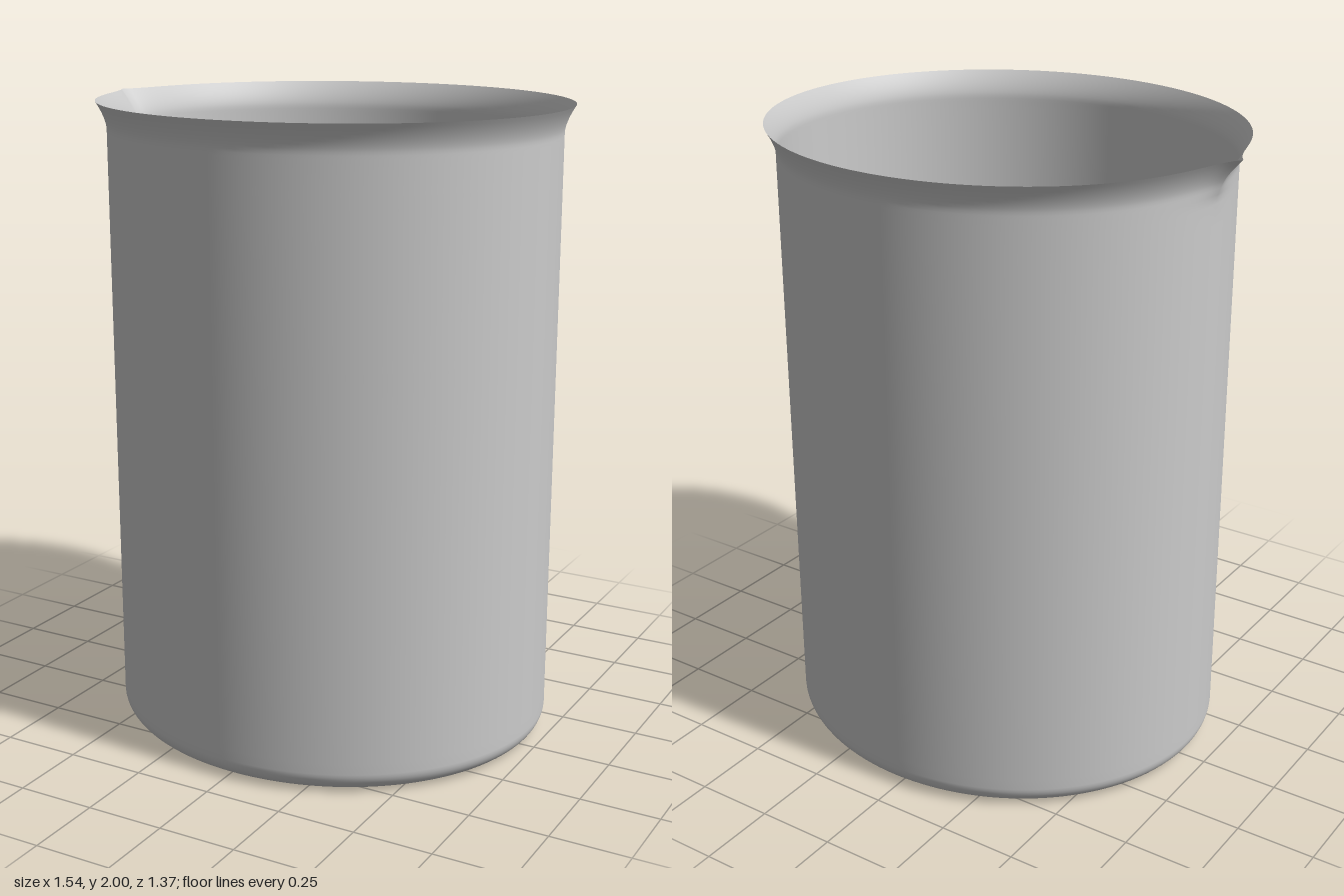
import * as THREE from 'three';
import { mergeVertices } from 'three/addons/utils/BufferGeometryUtils.js';

const R = 0.652;          // wall radius along z
const STRETCH = 1.093;    // the vessel is slightly wider along x
const CENTRE_X = 0.022;   // makes room for the spout on the -x side
const FILLET = 0.065;     // rounding between floor and wall

// Half section of the thin wall: floor, rounded corner, wall, flared rim
function wallProfile() {
  const p = [new THREE.Vector2(0, 0), new THREE.Vector2(0.3, 0), new THREE.Vector2(R - FILLET - 0.02, 0)];
  for (let i = 0; i <= 10; i++) {
    const a = (i / 10) * Math.PI / 2;
    p.push(new THREE.Vector2(R - FILLET + FILLET * Math.sin(a), FILLET * (1 - Math.cos(a))));
  }
  for (const y of [0.1, 0.7, 1.3, 1.8, 1.86]) p.push(new THREE.Vector2(R, y));
  for (let i = 0; i <= 12; i++) {
    const t = i / 12;
    p.push(new THREE.Vector2(R + 0.031 * Math.pow(Math.max(0, (t - 0.3) / 0.7), 1.6), 1.88 + 0.12 * t));
  }
  return p;
}

// Pull the rim outwards into a pointed pouring lip at -x
function shapeSpout(geometry) {
  const pos = geometry.attributes.position;
  for (let i = 0; i < pos.count; i++) {
    const x = pos.getX(i), y = pos.getY(i), z = pos.getZ(i);
    const rise = THREE.MathUtils.clamp((y - 1.87) / 0.13, 0, 1);
    const pull = x < 0 ? 0.045 * rise * Math.exp(-Math.abs(z) / 0.06) : 0;
    pos.setX(i, x * STRETCH + CENTRE_X - pull);
  }
}

export function createModel() {
  const group = new THREE.Group();
  group.name = 'beaker';

  let geometry = new THREE.LatheGeometry(wallProfile(), 192);
  shapeSpout(geometry);
  // Weld the seam so the shading runs smoothly all the way round
  geometry.deleteAttribute('uv');
  geometry.deleteAttribute('normal');
  geometry = mergeVertices(geometry, 1e-5);
  geometry.computeVertexNormals();

  const material = new THREE.MeshStandardMaterial({ color: 0xcccccc, side: THREE.DoubleSide });
  const vessel = new THREE.Mesh(geometry, material);
  vessel.name = 'vesselWithSpout';
  group.add(vessel);
  return group;
}
